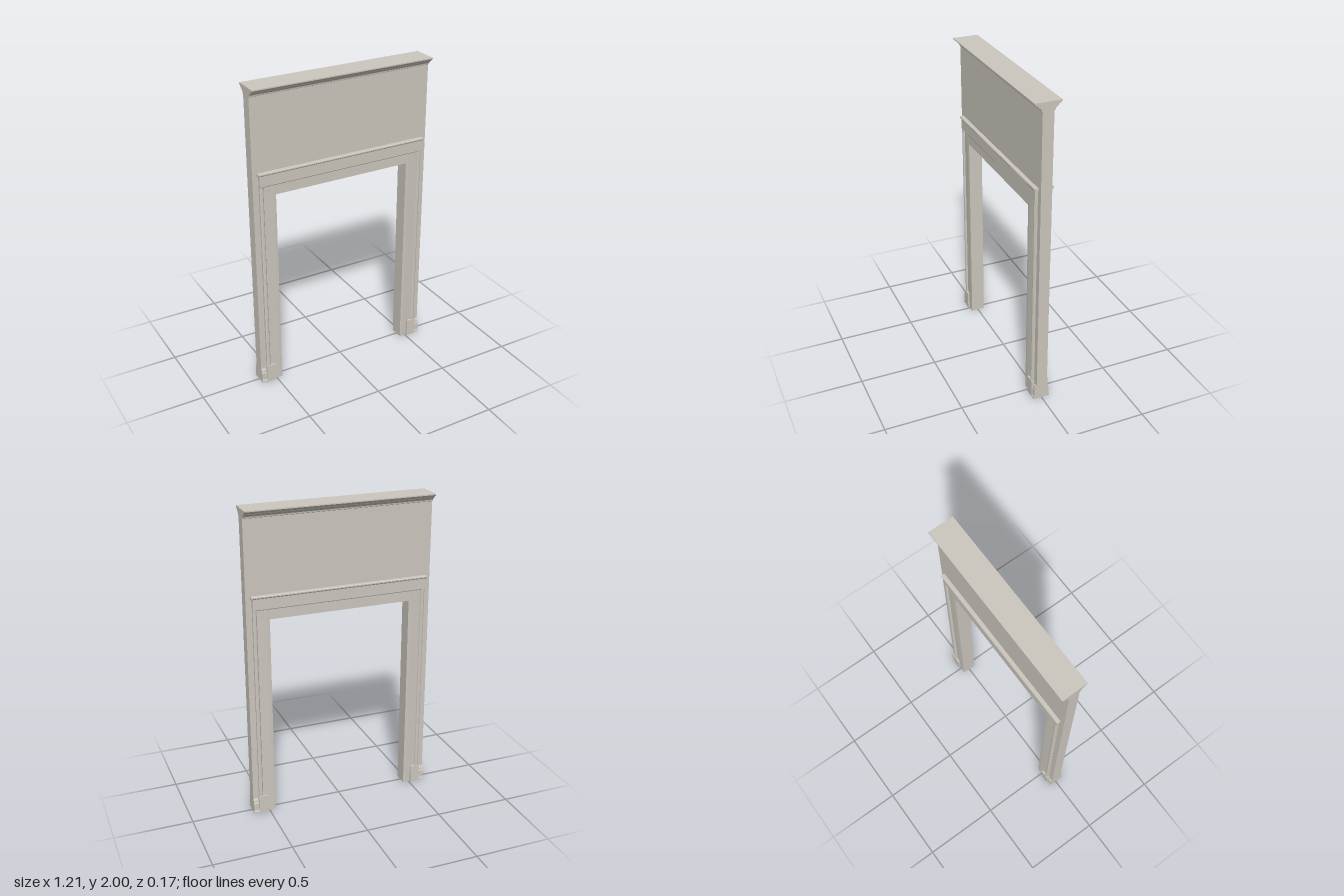
import * as THREE from 'three';

export function createModel() {
  const model = new THREE.Group();
  model.name = 'doorway';
  const plaster = new THREE.MeshStandardMaterial({ color: 0xcbc6bd });
  plaster.name = 'warm grey paint';

  const add = (name, geometry) => {
    const mesh = new THREE.Mesh(geometry, plaster);
    mesh.name = name;
    model.add(mesh);
    return mesh;
  };

  // Closed outline, mirrored front to back from one half: pairs of [along, depth]
  const mirrored = (half, place) => new THREE.Shape(
    [...half, ...half.slice().reverse().map(([a, d]) => [a, -d])]
      .map(([a, d]) => new THREE.Vector2(...place(a, d))));

  const extrude = (shape, depth) =>
    new THREE.ExtrudeGeometry(shape, { depth, bevelEnabled: false });

  // Horizontal moulding: half profile of [height, depth], run from x0 to x1
  const addRun = (name, half, x0, x1) => {
    const g = extrude(mirrored(half, (y, z) => [z, y]), x1 - x0);
    g.rotateY(Math.PI / 2);
    g.translate(x0, 0, 0);
    return add(name, g);
  };

  // Upright moulding: half profile of [x, depth], run from y0 to y1
  const addUpright = (name, half, side, y0, y1) => {
    const g = extrude(mirrored(half, (x, z) => [side * x, z]), y1 - y0);
    g.rotateX(-Math.PI / 2);
    g.translate(0, y0, 0);
    return add(name, g);
  };

  // Wall panel with the door opening
  const wall = new THREE.Shape([
    [-0.605, 0], [-0.5, 0], [-0.5, 1.36], [0.5, 1.36],
    [0.5, 0], [0.605, 0], [0.605, 1.96], [-0.605, 1.96],
  ].map(p => new THREE.Vector2(...p)));
  add('wall', extrude(wall, 0.07).translate(0, 0, -0.035));

  // Crown moulding with a coved underside
  addRun('crownMoulding', [
    [1.945, 0.035], [1.948, 0.041], [1.957, 0.043], [1.964, 0.049],
    [1.972, 0.06], [1.978, 0.064], [1.984, 0.073], [1.99, 0.079],
    [1.993, 0.083], [2, 0.083],
  ], -0.605, 0.605);

  // Door head: lining, frieze and cap
  addRun('headLining', [[1.32, 0.045], [1.39, 0.045]], -0.51, 0.51);
  addRun('headFrieze', [[1.385, 0.05], [1.39, 0.053], [1.462, 0.053]], -0.567, 0.567);
  addRun('headCap', [
    [1.458, 0.053], [1.462, 0.058], [1.466, 0.06],
    [1.472, 0.06], [1.476, 0.057],
  ], -0.576, 0.576);

  // Door sides: casing, plinth block and short baseboard
  const casing = [
    [0.46, 0.045], [0.48, 0.046], [0.51, 0.044], [0.54, 0.042],
    [0.544, 0.049], [0.549, 0.053], [0.559, 0.053], [0.567, 0.048],
  ];
  const baseboard = [
    [0, 0.055], [0.012, 0.054], [0.017, 0.049], [0.065, 0.048],
    [0.075, 0.044], [0.085, 0.043], [0.095, 0.038], [0.1, 0.035],
  ];
  for (const side of [1, -1]) {
    const prefix = side > 0 ? 'left' : 'right';
    addUpright(prefix + 'Casing', casing, side, 0, 1.388);
    addUpright(prefix + 'Plinth', [[0.51, 0.056], [0.572, 0.056]], side, 0, 0.117);
    addRun(prefix + 'Baseboard', baseboard, side > 0 ? 0.565 : -0.605, side > 0 ? 0.605 : -0.565);
  }
  return model;
}
